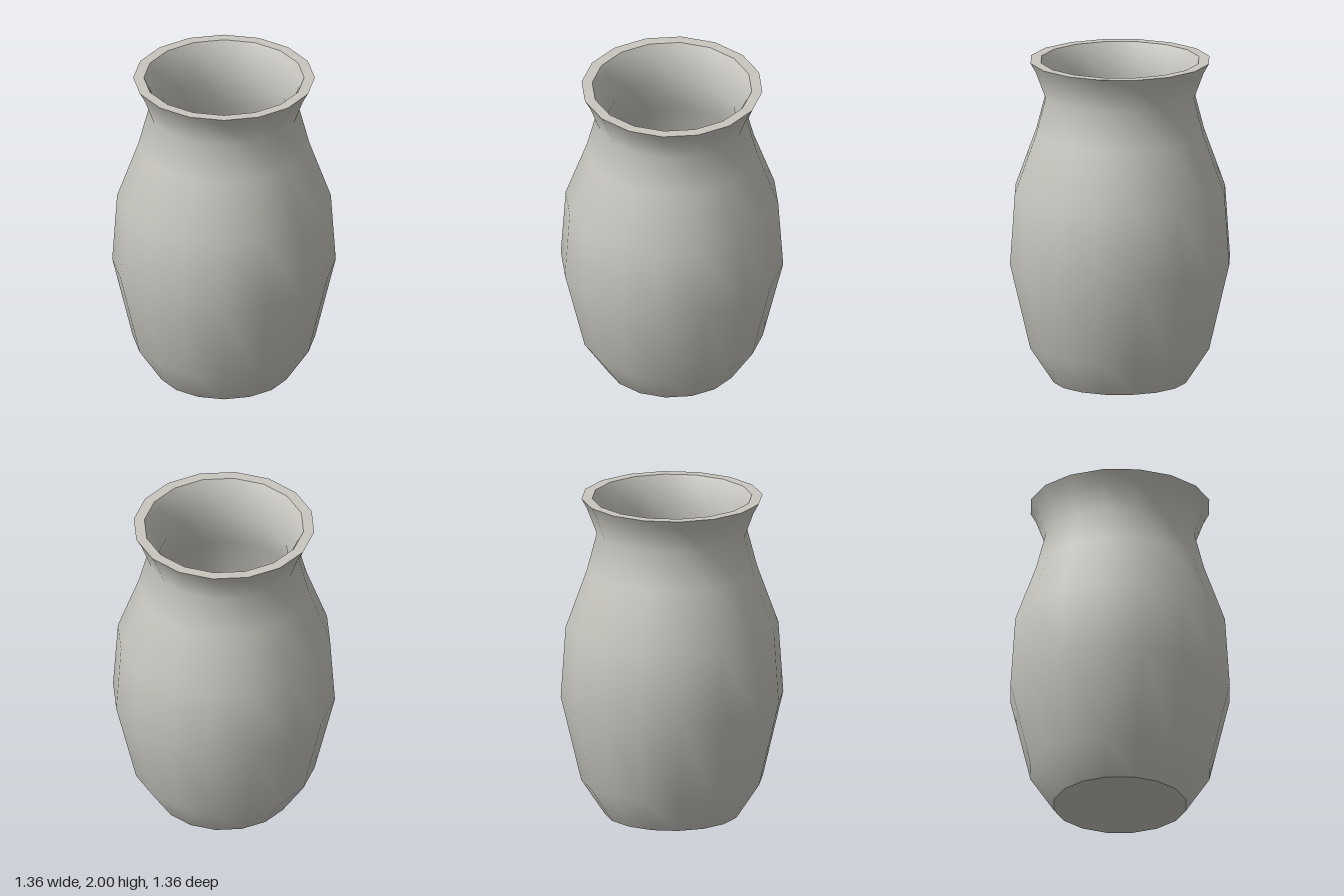
import * as THREE from 'three';

export function createModel() {
  const vase = new THREE.Group();
  vase.name = 'vase';

  const ceramic = new THREE.MeshStandardMaterial({ color: 0xc8c6bf });
  ceramic.name = 'warm grey ceramic';

  // Each smooth band is its own 16-sided lathe, so edges between bands stay sharp
  const addBand = (name, profile) => {
    const points = profile.map(([r, y]) => new THREE.Vector2(r, y));
    const mesh = new THREE.Mesh(new THREE.LatheGeometry(points, 16), ceramic);
    mesh.name = name;
    vase.add(mesh);
  };

  // Flat underside
  addBand('base', [[0, 0], [0.41, 0]]);

  // Outer wall, from foot to lip
  addBand('outerWall', [
    [0.41, 0], [0.555, 0.22], [0.68, 0.75], [0.65, 1.19],
    [0.52, 1.55], [0.46, 1.78], [0.52, 1.94], [0.553, 2],
  ]);

  // Flat top of the lip
  addBand('rim', [[0.553, 2], [0.488, 2]]);

  // Inner wall, running down into the rounded floor
  addBand('innerWall', [
    [0.488, 2], [0.46, 1.95], [0.393, 1.78], [0.455, 1.54], [0.585, 1.17],
    [0.615, 0.75], [0.495, 0.25], [0.39, 0.07], [0, 0.07],
  ]);

  return vase;
}
